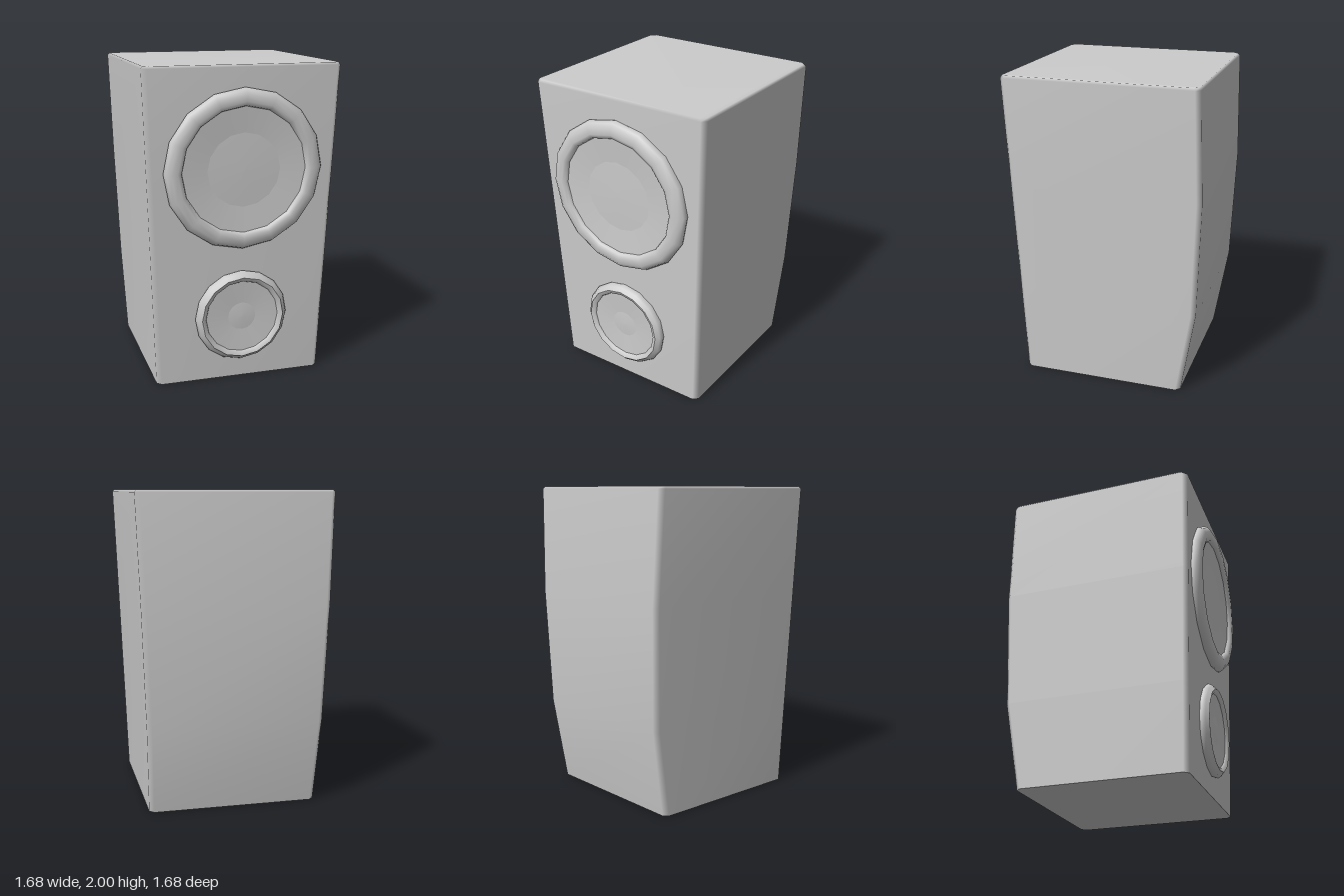
import * as THREE from 'three';

const grey = new THREE.MeshStandardMaterial({ color: 0xcccccc });
grey.name = 'light grey';

// Cabinet measurements: half width and front depth grow linearly with height
const halfWidth = (y) => 0.542 + 0.0375 * y;
const frontZ = (y) => 0.546 + 0.0355 * y;

// Chamfered rectangle, counter-clockwise seen from above
function section(y, back, inset = 0, b = 0.03) {
  const w = halfWidth(y) - inset, f = frontZ(y) - inset, k = back + inset;
  return [
    [w - b, f], [w, f - b], [w, k + b], [w - b, k],
    [-w + b, k], [-w, k + b], [-w, f - b], [-w + b, f],
  ].map(([x, z]) => [x, y, z]);
}

function cabinetGeometry(rings, capTop, capBottom) {
  const n = 8, index = [];
  for (let r = 0; r < rings.length - 1; r++) {
    for (let i = 0; i < n; i++) {
      const j = (i + 1) % n, a = r * n + i, b = r * n + j;
      index.push(a, b, b + n, a, b + n, a + n);
    }
  }
  const top = (rings.length - 1) * n;
  for (let i = 1; i < n - 1; i++) {
    if (capTop) index.push(top, top + i, top + i + 1);
    if (capBottom) index.push(0, i + 1, i);
  }
  const g = new THREE.BufferGeometry();
  g.setAttribute('position', new THREE.Float32BufferAttribute(rings.flat(2), 3));
  g.setIndex(index);
  g.computeVertexNormals();
  return g;
}

function addMesh(parent, name, geometry) {
  const m = new THREE.Mesh(geometry, grey);
  m.name = name;
  parent.add(m);
}

// Turned part whose axis points to the front
function turned(points, segments = 16) {
  const g = new THREE.LatheGeometry(points.map(([r, h]) => new THREE.Vector2(r, h)), segments);
  return g.rotateX(Math.PI / 2);
}

function driver(name, y, R, inner, cap, coneTop, coneLow) {
  const g = new THREE.Group();
  g.name = name;
  addMesh(g, name + 'Ring', turned([
    [R - 0.01, -0.02], [R, 0.012], [R - 0.012, 0.035], [R - 0.04, 0.053],
    [inner + 0.03, 0.055], [inner + 0.006, 0.046], [inner, coneTop],
  ]));
  addMesh(g, name + 'Cone', turned([[inner, coneTop], [cap, coneLow]]));
  addMesh(g, name + 'DustCap', turned([[cap, coneLow], [cap * 0.5, coneLow + 0.003], [0, coneLow + 0.004]]));
  g.position.set(0, y, frontZ(y));
  g.rotation.x = Math.atan(0.0355);
  return g;
}

export function createModel() {
  const model = new THREE.Group();
  const speaker = new THREE.Group();
  speaker.name = 'speaker';
  speaker.rotation.y = 0.974;
  model.add(speaker);

  // Tapered cabinet with a bowed back, and its flat underside
  const foot = section(0, -0.522);
  addMesh(speaker, 'cabinet', cabinetGeometry([
    foot, section(0.55, -0.613), section(1.3, -0.638),
    section(1.985, -0.617), section(2, -0.617, 0.012),
  ], true, false));
  addMesh(speaker, 'underside', cabinetGeometry([foot], false, true));

  // Large and small drivers on the sloping front
  speaker.add(driver('largeDriver', 1.37, 0.5, 0.39, 0.23, 0.028, 0.016));
  speaker.add(driver('smallDriver', 0.425, 0.3, 0.235, 0.09, 0.034, 0.026));
  return model;
}
